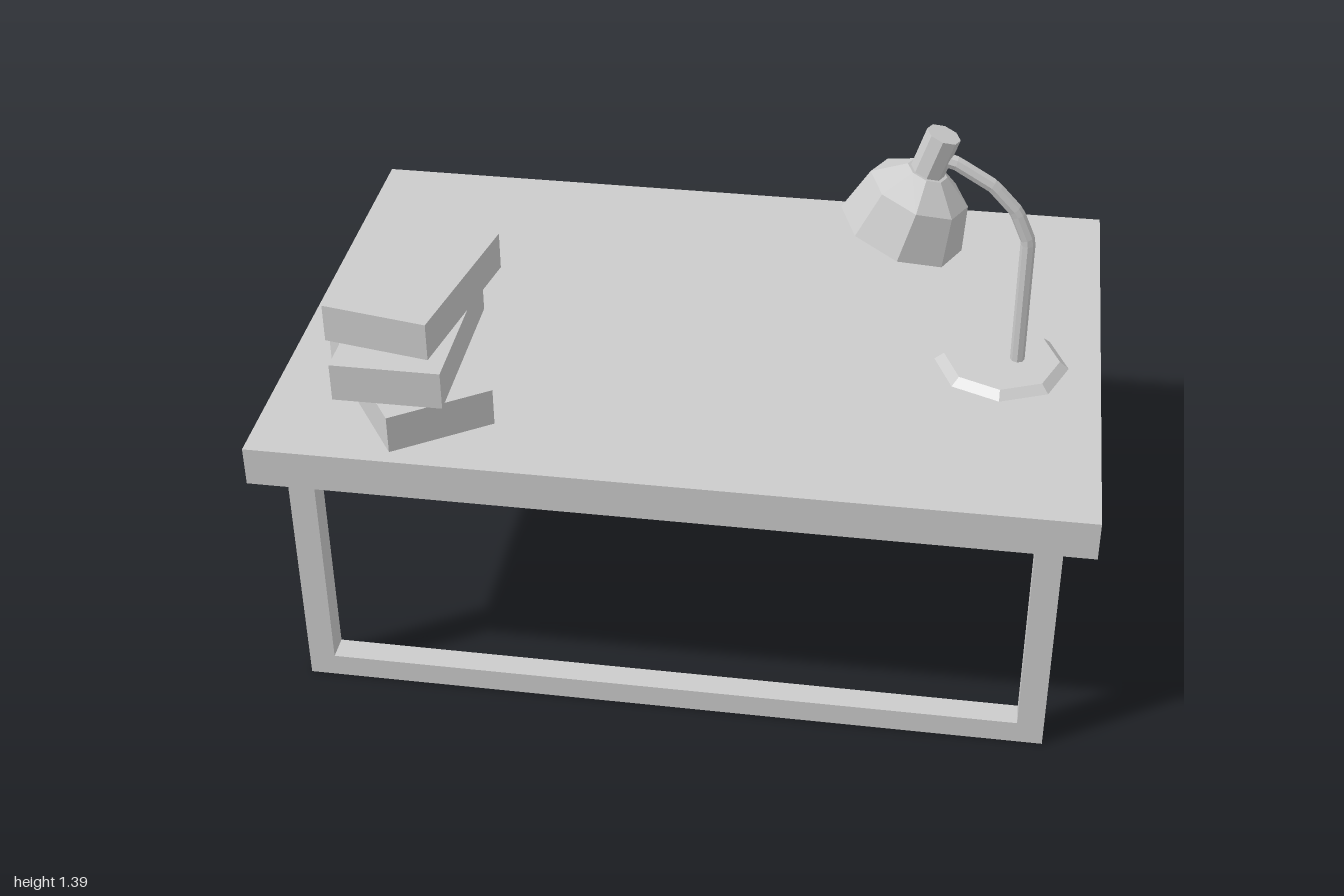
import * as THREE from 'three';

export function createModel() {
  const model = new THREE.Group();
  const mat = new THREE.MeshStandardMaterial({ color: 0xcccccc, flatShading: true });
  const thin = new THREE.MeshStandardMaterial({ color: 0xcccccc, flatShading: true, side: THREE.DoubleSide });

  function add(parent, name, geometry, x = 0, y = 0, z = 0, material = mat) {
    const mesh = new THREE.Mesh(geometry, material);
    mesh.name = name;
    mesh.position.set(x, y, z);
    parent.add(mesh);
    return mesh;
  }

  // Table top
  add(model, 'tableTop', new THREE.BoxGeometry(2, 0.1, 1.364), 0, 0.7, 0);

  // Leg frames: a U of two legs joined by a floor bar, front and back
  const u = new THREE.Shape([
    [-0.927, 0], [0.927, 0], [0.927, 0.65], [0.862, 0.65],
    [0.862, 0.06], [-0.862, 0.06], [-0.862, 0.65], [-0.927, 0.65],
  ].map(([x, y]) => new THREE.Vector2(x, y)));
  for (const [name, z] of [['frontLegFrame', 0.577], ['backLegFrame', -0.577]]) {
    const geometry = new THREE.ExtrudeGeometry(u, { depth: 0.063, bevelEnabled: false });
    add(model, name, geometry, 0, 0, z - 0.0315);
  }

  // Stack of books, each turned a little differently
  const books = new THREE.Group();
  books.name = 'bookStack';
  model.add(books);
  [[0.388, 33.9], [0.368, 0], [0.294, -10.4]].forEach(([z, turn], i) => {
    const book = add(books, 'book' + (i + 1), new THREE.BoxGeometry(0.265, 0.097, 0.437),
      -0.667, 0.7985 + i * 0.097, z);
    book.rotation.y = THREE.MathUtils.degToRad(turn);
  });

  // Desk lamp
  const lamp = new THREE.Group();
  lamp.name = 'lamp';
  lamp.position.z = 0.066;
  model.add(lamp);
  add(lamp, 'lampBase', new THREE.CylinderGeometry(0.143, 0.166, 0.019, 8), 0.755, 0.7595, 0);

  // Bent arm: straight post, then a quarter bend towards the shade
  const arm = new THREE.CurvePath();
  const bend = [[0.793, 0.76], [0.793, 1.11], [0.76, 1.187], [0.7, 1.252], [0.61, 1.306], [0.56, 1.32]]
    .map(([x, y]) => new THREE.Vector3(x, y, 0));
  for (let i = 1; i < bend.length; i++) arm.add(new THREE.LineCurve3(bend[i - 1], bend[i]));
  add(lamp, 'lampArm', new THREE.TubeGeometry(arm, 40, 0.018, 8));

  // Tilted head, origin at the centre of the shade's rim
  const head = new THREE.Group();
  head.name = 'lampHead';
  head.position.set(0.489, 1.118, 0);
  head.rotation.z = THREE.MathUtils.degToRad(-18.3);
  lamp.add(head);
  const profile = [[0.155, 0], [0.124, 0.118], [0.05, 0.172], [0, 0.172]]
    .map(([r, y]) => new THREE.Vector2(r, y));
  add(head, 'lampShade', new THREE.LatheGeometry(profile, 8), 0, 0, 0, thin);
  add(head, 'lampSocket', new THREE.CylinderGeometry(0.042, 0.042, 0.126, 8), 0, 0.213, 0);
  add(head, 'lampBulb', new THREE.SphereGeometry(0.056, 10, 8), 0, 0.028, 0);

  return model;
}
